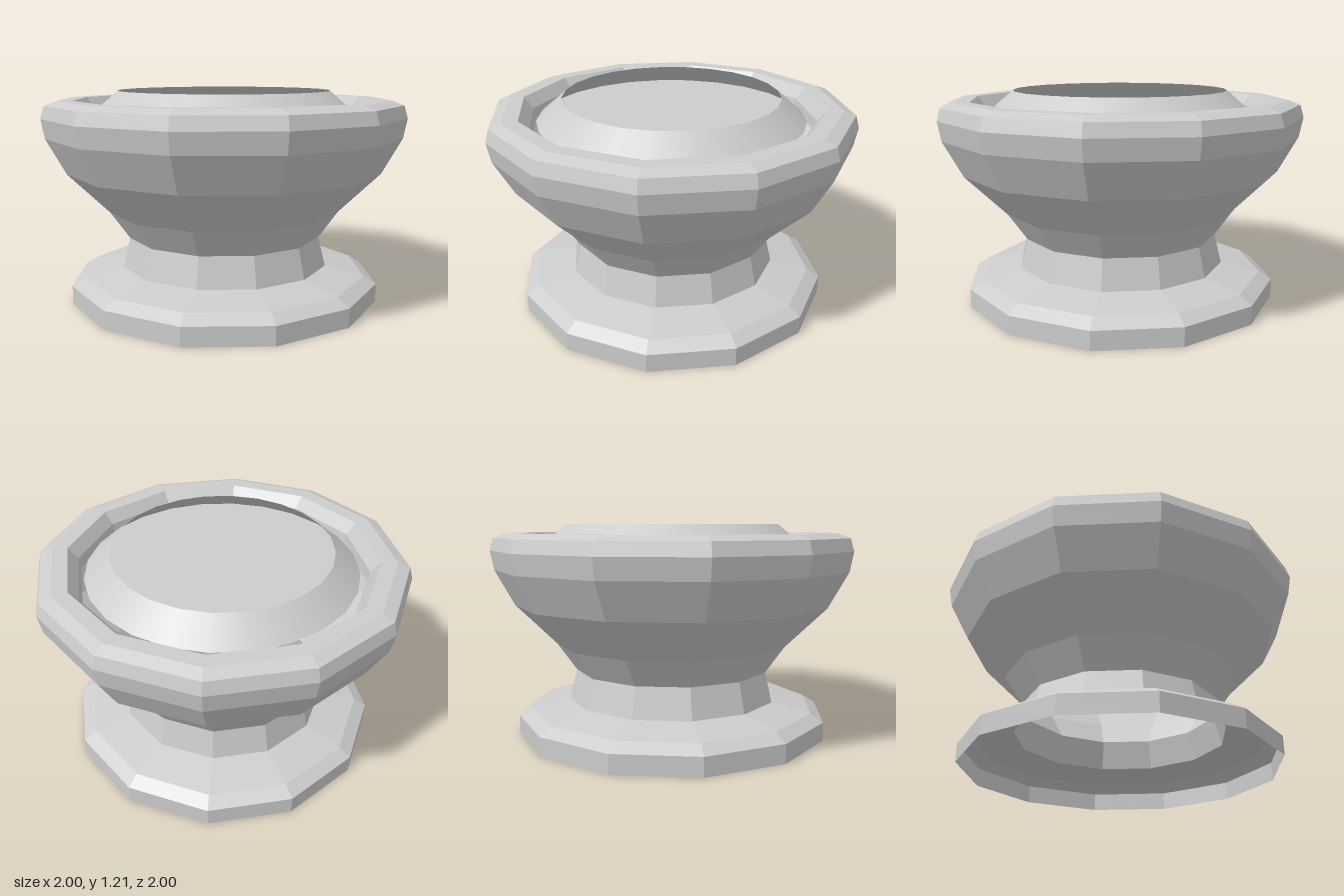
import * as THREE from 'three';

const stone = new THREE.MeshStandardMaterial({ color: 0xcccccc, side: THREE.DoubleSide, flatShading: true });
const SIDES = 12;
const toCorner = 1 / Math.cos(Math.PI / SIDES); // flat-to-flat radius -> corner radius

// Twelve-sided shell with flat faces towards the front and sides
function facetedShell(name, profile) {
  const points = profile.map(([r, y]) => new THREE.Vector2(r * toCorner, y));
  const mesh = new THREE.Mesh(new THREE.LatheGeometry(points, SIDES, Math.PI / SIDES), stone);
  mesh.name = name;
  return mesh;
}

export function createModel() {
  const group = new THREE.Group();
  group.name = 'pedestalPlanter';

  // Hollow foot and narrow neck, open underneath
  group.add(facetedShell('foot', [[0.87, 0], [0.87, 0.105], [0.8, 0.15], [0.585, 0.195]]));
  group.add(facetedShell('neck', [[0.585, 0.195], [0.545, 0.365]]));

  // Flaring bowl
  group.add(facetedShell('bowl', [
    [0.545, 0.365], [0.65, 0.52], [0.875, 0.75], [0.98, 0.95], [1, 1.06],
  ]));

  // Rim, rolled over and down the inside
  group.add(facetedShell('rim', [
    [1, 1.06], [0.98, 1.13], [0.915, 1.155], [0.83, 1.155], [0.78, 1.09], [0.77, 1.03],
  ]));

  // Smooth sloping collar inside the rim, open at the top
  const smoothStone = stone.clone();
  smoothStone.flatShading = false;
  const low = 1.08, high = 1.205;
  const collar = new THREE.Mesh(
    new THREE.CylinderGeometry(0.61, 0.755, high - low, 24, 1, true), smoothStone);
  collar.position.y = (low + high) / 2;
  collar.name = 'collar';
  group.add(collar);

  // Flat floor under the collar
  const floor = new THREE.Mesh(new THREE.CircleGeometry(0.755, 24), stone);
  floor.rotation.x = -Math.PI / 2;
  floor.position.y = low;
  floor.name = 'floor';
  group.add(floor);

  return group;
}
